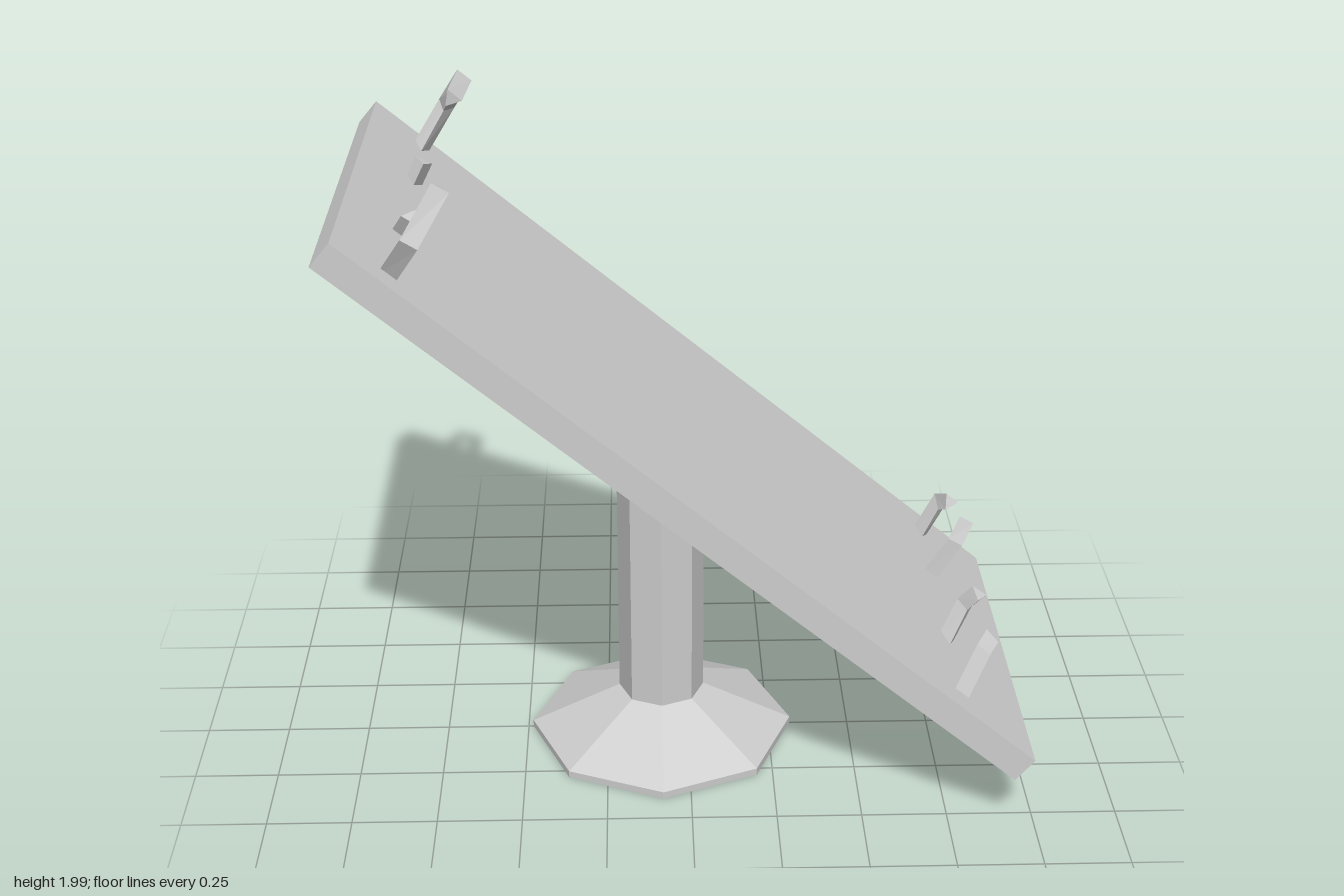
import * as THREE from 'three';

const TILT = THREE.MathUtils.degToRad(40);
const V = (x, y, z) => new THREE.Vector3(x, y, z);
const slope = V(Math.cos(TILT), -Math.sin(TILT), 0); // runs down the board

// Ring of points around c, counter-clockwise from e1 towards e2
function ring(c, e1, e2, sides, r, start = 0) {
  return Array.from({ length: sides }, (_, i) => {
    const a = start + (i / sides) * Math.PI * 2;
    return c.clone().addScaledVector(e1, r * Math.cos(a)).addScaledVector(e2, r * Math.sin(a));
  });
}

// Closed, faceted skin through a list of rings, capped at both ends
function loft(rings) {
  const pos = [];
  const tri = (...pts) => pts.forEach((p) => pos.push(p.x, p.y, p.z));
  const n = rings[0].length;
  for (let k = 0; k < rings.length - 1; k++) {
    const a = rings[k], b = rings[k + 1];
    for (let i = 0; i < n; i++) {
      const j = (i + 1) % n;
      tri(a[i], a[j], b[j]);
      tri(a[i], b[j], b[i]);
    }
  }
  const first = rings[0], last = rings[rings.length - 1];
  for (let i = 1; i < n - 1; i++) {
    tri(first[0], first[i + 1], first[i]);
    tri(last[0], last[i], last[i + 1]);
  }
  const g = new THREE.BufferGeometry();
  g.setAttribute('position', new THREE.Float32BufferAttribute(pos, 3));
  g.computeVertexNormals();
  return g;
}

// Three-sided bent claw with mitred joints; its flat face is on the outside of the bend
function claw(points, side) {
  const p = points.map((q) => V(...q));
  const dir = p.slice(1).map((q, i) => q.clone().sub(p[i]).normalize());
  p[0].addScaledVector(dir[0], -0.02); // root sits in the board
  return loft(p.map((c, i) => {
    const before = dir[Math.max(i - 1, 0)], after = dir[Math.min(i, dir.length - 1)];
    const t = before.clone().add(after).normalize();
    const out = slope.clone().cross(t).normalize().multiplyScalar(side);
    const across = t.clone().cross(out);
    out.divideScalar(t.dot(before));
    return ring(c, out, across, 3, 0.03, Math.PI / 3);
  }));
}

export function createModel() {
  const model = new THREE.Group();
  const grey = new THREE.MeshStandardMaterial({ color: 0xcccccc });
  grey.name = 'grey';
  const add = (name, geometry) => {
    const m = new THREE.Mesh(geometry, grey);
    m.name = name;
    model.add(m);
    return m;
  };

  // Pedestal: octagonal foot, upright column and a neck bent to meet the board
  const cx = -0.083;
  const zAxis = V(0, 0, 1), xAxis = V(1, 0, 0);
  const level = (y, r) => ring(V(cx, y, 0), zAxis, xAxis, 8, r);
  add('foot', loft([level(0, 0.402), level(0.022, 0.402), level(0.152, 0.13)]));
  add('column', loft([
    level(0.15, 0.13),
    level(0.875, 0.13),
    ring(V(-0.024, 0.99, 0), zAxis, slope, 8, 0.13),
  ]));

  // Tilted board
  const board = add('board', new THREE.BoxGeometry(2.49, 0.085, 1.2));
  board.position.set(0, 1.018, 0);
  board.rotation.z = -TILT;

  // Claws: path and the z side their outer face turns to
  const claws = {
    upperLeftOuterClaw: [1, [-0.79, 1.73, 0.505], [-0.725, 1.84, 0.572], [-0.645, 1.972, 0.527]],
    upperRightOuterClaw: [-1, [-0.79, 1.73, -0.51], [-0.715, 1.845, -0.567],
      [-0.655, 1.965, -0.437], [-0.672, 1.955, -0.28]],
    upperLeftInnerClaw: [1, [-0.785, 1.73, 0.21], [-0.75, 1.79, 0.25]],
    upperRightInnerClaw: [-1, [-0.785, 1.73, -0.21], [-0.755, 1.79, -0.215]],
    lowerLeftOuterClaw: [1, [0.775, 0.43, 0.49], [0.83, 0.53, 0.445], [0.86, 0.545, 0.4]],
    lowerLeftInnerClaw: [-1, [0.775, 0.43, 0.205], [0.825, 0.515, 0.165], [0.86, 0.565, 0.185]],
    lowerRightInnerClaw: [1, [0.775, 0.43, -0.205], [0.84, 0.53, -0.21], [0.875, 0.59, -0.24]],
    lowerRightOuterClaw: [-1, [0.775, 0.43, -0.465], [0.83, 0.53, -0.475], [0.855, 0.555, -0.425]],
  };
  for (const [name, [side, ...path]] of Object.entries(claws)) add(name, claw(path, side));

  return model;
}
